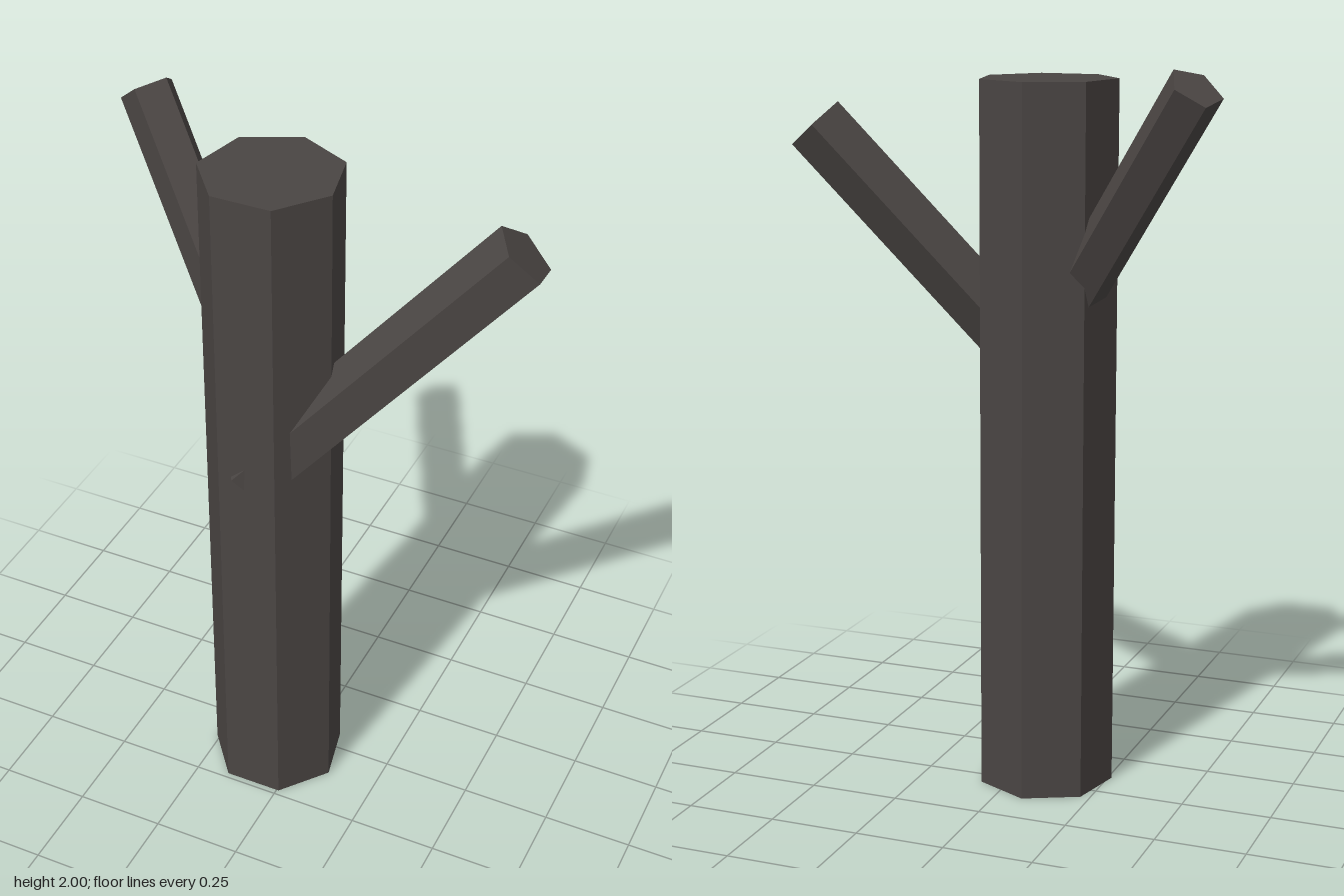
import * as THREE from 'three';

export function createModel() {
  const group = new THREE.Group();
  group.name = 'deadTree';

  const bark = new THREE.MeshStandardMaterial({ color: 0x4a4543, flatShading: true });
  bark.name = 'darkBark';

  // Trunk: straight seven-sided prism with one corner pointing back
  const trunkHeight = 1.957;
  const trunk = new THREE.Mesh(
    new THREE.CylinderGeometry(0.189, 0.189, trunkHeight, 7, 1, false, Math.PI), bark);
  trunk.name = 'trunk';
  trunk.position.set(-0.076, trunkHeight / 2, 0.064);
  group.add(trunk);

  // Five-sided branch from base to tip; corner is the direction of one of its edges
  function addBranch(name, base, tip, corner, radius) {
    const a = new THREE.Vector3(...base);
    const b = new THREE.Vector3(...tip);
    const yAxis = b.clone().sub(a);
    const length = yAxis.length();
    yAxis.normalize();
    const xAxis = yAxis.clone().cross(new THREE.Vector3(...corner)).normalize();
    const zAxis = xAxis.clone().cross(yAxis);
    const mesh = new THREE.Mesh(new THREE.CylinderGeometry(radius, radius, length, 5), bark);
    mesh.name = name;
    mesh.quaternion.setFromRotationMatrix(new THREE.Matrix4().makeBasis(xAxis, yAxis, zAxis));
    mesh.position.copy(a).add(b).multiplyScalar(0.5);
    group.add(mesh);
  }

  // The thick branch passes through the trunk, its lower corner just breaking the front
  addBranch('leftBranch', [-0.1, 1.083, 0.163], [0.553, 1.829, -0.04], [-0.068, 0.054, -0.005], 0.09);
  addBranch('rightBranch', [-0.086, 1.259, 0.071], [-0.556, 1.959, -0.187], [0.061, 0.041, 0.007], 0.075);

  return group;
}
